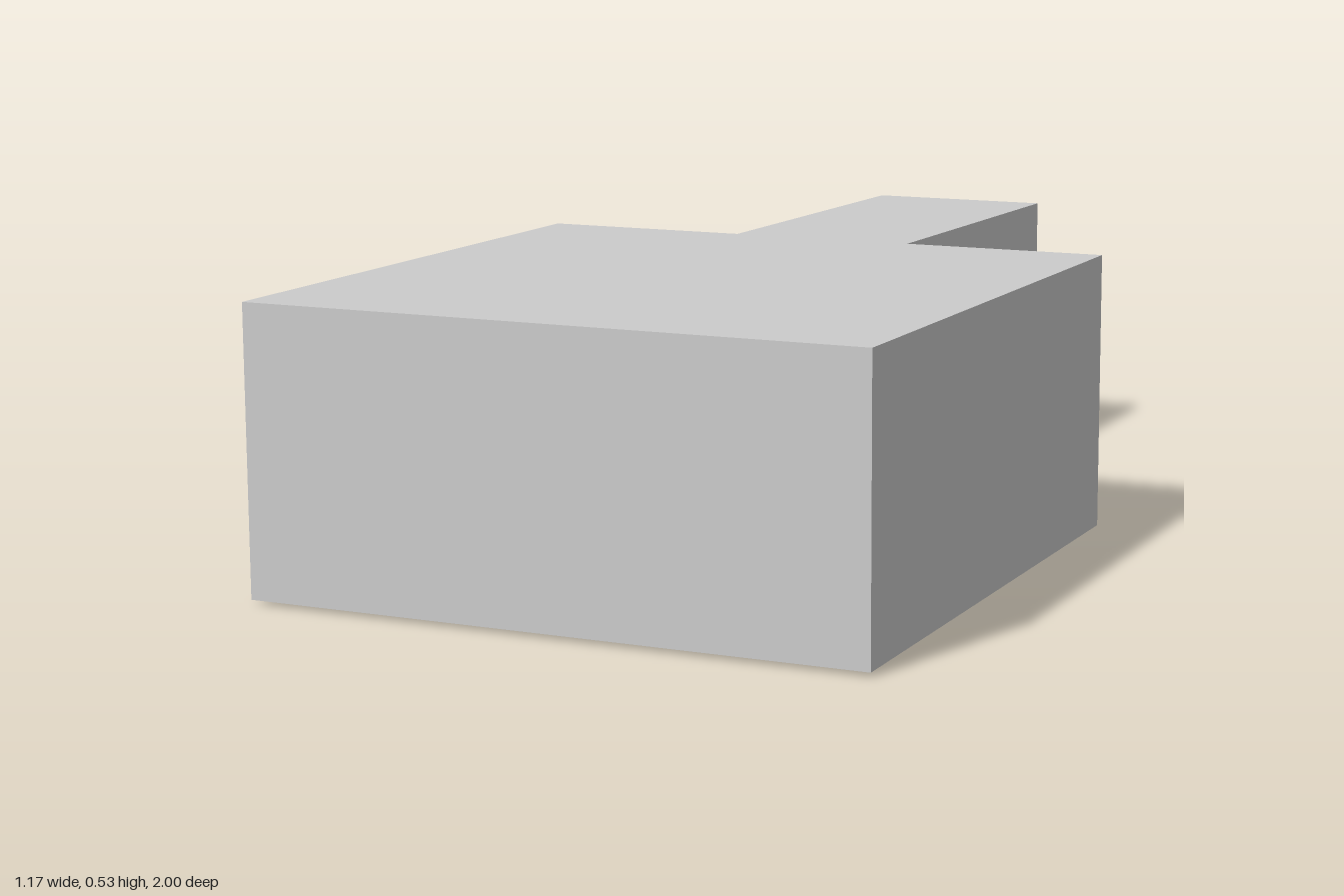
import * as THREE from 'three';

const material = new THREE.MeshStandardMaterial({ color: 0xcccccc, flatShading: true });

// Box given by its minimum and maximum corners
function block(name, [x0, y0, z0], [x1, y1, z1]) {
  const geometry = new THREE.BoxGeometry(x1 - x0, y1 - y0, z1 - z0);
  geometry.translate((x0 + x1) / 2, (y0 + y1) / 2, (z0 + z1) / 2);
  const mesh = new THREE.Mesh(geometry, material);
  mesh.name = name;
  return mesh;
}

export function createModel() {
  const model = new THREE.Group();
  model.name = 'blockWithArm';

  // Wide main block at the front
  const body = block('mainBlock', [-0.583, 0.008, -0.15], [0.583, 0.533, 1]);

  // Narrow arm at the back, its top falling slightly towards the rear
  const arm = block('rearArm', [-0.212, 0, -1], [0.157, 0.523, -0.15]);
  const p = arm.geometry.attributes.position;
  for (let i = 0; i < p.count; i++) {
    if (p.getY(i) > 0.3 && p.getZ(i) < -0.5) p.setY(i, 0.516);
  }
  arm.geometry.computeVertexNormals();

  model.add(body, arm);
  return model;
}
